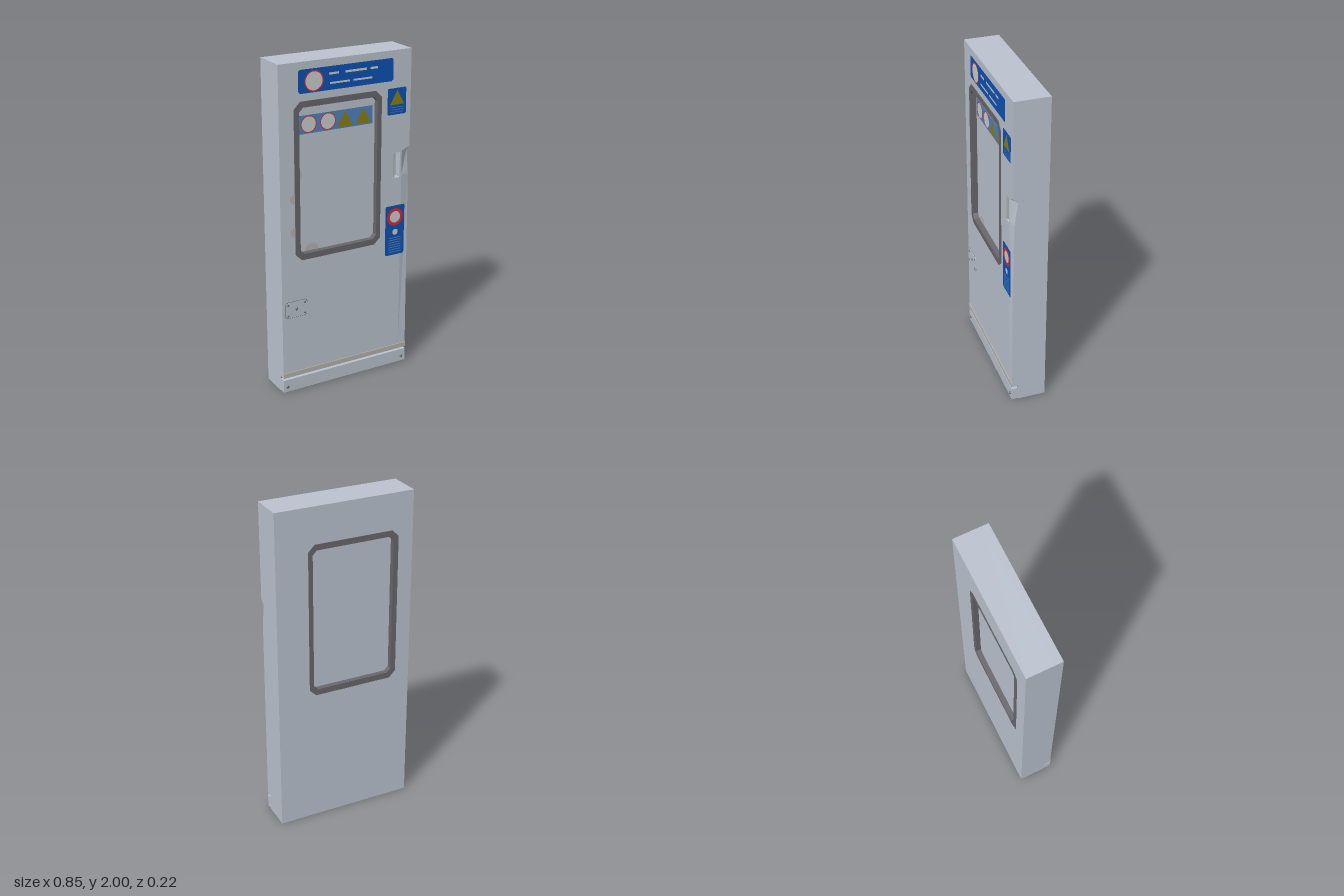
import * as THREE from 'three';

const mat = (name, color) => {
  const m = new THREE.MeshStandardMaterial({ color });
  m.name = name;
  return m;
};

// Rectangle outline with cut corners (c = 0 gives a plain rectangle)
function outline(x0, x1, y0, y1, c = 0, Type = THREE.Shape) {
  const pts = c
    ? [[x0 + c, y0], [x1 - c, y0], [x1, y0 + c], [x1, y1 - c], [x1 - c, y1], [x0 + c, y1], [x0, y1 - c], [x0, y0 + c]]
    : [[x0, y0], [x1, y0], [x1, y1], [x0, y1]];
  return new Type(pts.map(([x, y]) => new THREE.Vector2(x, y)));
}

export function createModel() {
  const door = new THREE.Group();
  door.name = 'door';
  const steel = mat('paintedSteel', 0xbcc4d0);
  const dark = mat('windowSeal', 0x68686d);
  const beige = mat('wornMetal', 0xb6b4ae);
  const blue = mat('signBlue', 0x0d52b4);
  const paleBlue = mat('stickerBlue', 0x5083be);
  const white = mat('signWhite', 0xcdced0);
  const red = mat('signRed', 0xdc2830);
  const yellow = mat('signYellow', 0x8c8010);

  const add = (name, geo, m, parent = door) => {
    const mesh = new THREE.Mesh(geo, m);
    mesh.name = name;
    parent.add(mesh);
    return mesh;
  };
  const box = (name, x0, x1, y0, y1, z0, z1, m) =>
    add(name, new THREE.BoxGeometry(x1 - x0, y1 - y0, z1 - z0), m)
      .position.set((x0 + x1) / 2, (y0 + y1) / 2, (z0 + z1) / 2);
  const slab = (name, shape, z0, z1, m) =>
    add(name, new THREE.ExtrudeGeometry(shape, { depth: z1 - z0, bevelEnabled: false }), m).position.z = z0;
  const paint = (name, shape, z, m, parent) => {
    add(name, new THREE.ShapeGeometry(shape, 20), m, parent).position.z = z;
  };

  // Door leaf: back layer, and front layer with the handle pocket
  const W = 0.427, POST = 0.375;
  const windowHole = () => outline(-0.33, 0.225, 0.845, 1.775, 0.035, THREE.Path);
  const back = outline(-W, POST, 0.1, 2);
  back.holes.push(windowHole());
  slab('doorBack', back, -0.11, 0.06, steel);
  const front = outline(-W, POST, 0.1, 2);
  front.holes.push(windowHole(), outline(0.315, 0.362, 1.235, 1.39, 0, THREE.Path));
  slab('doorFront', front, 0.06, 0.1, steel);
  box('handleGrip', 0.317, 0.328, 1.237, 1.388, 0.06, 0.098, beige);

  // Closing edge, with its front corner pressed in beside the handle
  const edge = new THREE.BoxGeometry(W - POST, 1.9, 0.21, 1, 4, 1);
  edge.translate((W + POST) / 2, 1.05, -0.005);
  const levels = [[2, 0.1], [1.42, 0.1], [1.395, 0.07], [1.25, 0.09], [0.1, 0.1]];
  const p = edge.attributes.position;
  for (let i = 0; i < p.count; i++) {
    const [y, z] = levels[Math.round((2 - p.getY(i)) / 0.475)];
    p.setY(i, y);
    if (p.getZ(i) > 0 && p.getX(i) > 0.4) p.setZ(i, z);
  }
  const flatEdge = edge.toNonIndexed();
  flatEdge.computeVertexNormals();
  add('closingEdge', flatEdge, steel);

  // Window: one seal running through the leaf, glazing set back on both sides
  const seal = outline(-0.335, 0.23, 0.84, 1.78, 0.04);
  seal.holes.push(outline(-0.303, 0.203, 0.877, 1.745, 0.025, THREE.Path));
  slab('windowSeal', seal, -0.112, 0.104, dark);
  box('windowPane', -0.31, 0.21, 0.87, 1.75, -0.08, 0.07, steel);

  // Foot of the door: core, rail, kick plate
  box('footCore', -W, W, 0, 0.1, -0.11, 0.06, steel);
  box('kickPlate', -W, W, 0.005, 0.085, 0.06, 0.102, steel);
  box('footRail', -W, W, 0.1, 0.13, 0.1, 0.105, beige);
  box('footGroove', -W + 0.003, W - 0.003, 0.085, 0.1, 0.06, 0.063, dark);

  // Screws and lock plate
  const screw = (x, y, r, z) => {
    const g = new THREE.CylinderGeometry(r * 0.7, r, 0.006, 10).rotateX(Math.PI / 2);
    add('screw', g, dark).position.set(x, y, z);
  };
  for (const x of [-0.4, 0.4]) screw(x, 0.037, 0.01, 0.105);
  slab('lockPlate', outline(-0.405, -0.265, 0.49, 0.588, 0.012), 0.1, 0.104, steel);
  const rim = outline(-0.408, -0.262, 0.487, 0.591, 0.013);
  paint('lockPlateRim', rim, 0.1015, dark);
  for (const x of [-0.39, -0.28]) for (const y of [0.505, 0.573]) screw(x, y, 0.007, 0.106);
  screw(-0.335, 0.54, 0.01, 0.106);

  // Sign pieces, stacked as thin layers
  const disc = (x, y, r) => new THREE.Shape().absarc(x, y, r, 0, Math.PI * 2);
  const sign = (name) => {
    const g = new THREE.Group();
    g.name = name;
    door.add(g);
    return g;
  };
  const roundMark = (g, x, y, r, inner, z) => {
    const ring = disc(x, y, r);
    ring.holes.push(new THREE.Path().absarc(x, y, inner, 0, Math.PI * 2));
    paint('markRing', ring, z, red, g);
    paint('markDisc', disc(x, y, inner), z, white, g);
  };
  const triangle = (g, x, y0, y1, half, z) => paint('warningTriangle', new THREE.Shape([
    new THREE.Vector2(x - half, y0), new THREE.Vector2(x + half, y0), new THREE.Vector2(x, y1)]), z, yellow, g);
  const bar = (g, x0, x1, y, h, z, m) => paint('signBar', outline(x0, x1, y - h / 2, y + h / 2), z, m, g);

  const Z = 0.102, Z2 = 0.104;
  const top = sign('topSign');
  paint('topSignPlate', outline(-0.305, 0.305, 1.823, 1.957, 0.01), Z, blue, top);
  roundMark(top, -0.208, 1.887, 0.06, 0.053, Z2);
  for (const [a, b] of [[-0.115, -0.05], [-0.01, 0.13], [0.15, 0.2]]) bar(top, a, b, 1.916, 0.013, Z2, white);
  for (const [a, b] of [[-0.11, 0.02], [0.04, 0.165]]) bar(top, a, b, 1.862, 0.011, Z2, white);

  const warning = sign('warningSign');
  paint('warningSignPlate', outline(0.27, 0.395, 1.623, 1.78, 0.006), Z, blue, warning);
  triangle(warning, 0.333, 1.682, 1.768, 0.048, Z2);
  for (let i = 0; i < 3; i++) bar(warning, 0.288, 0.378, 1.667 - i * 0.014, 0.004, Z2, paleBlue);

  const notice = sign('noticeSign');
  paint('noticeSignPlate', outline(0.268, 0.4, 0.745, 1.062, 0.008), Z, blue, notice);
  roundMark(notice, 0.334, 0.99, 0.055, 0.036, Z2);
  paint('noticeDot', disc(0.336, 0.893, 0.019), Z2, white, notice);
  for (let i = 0; i < 7; i++) bar(notice, 0.293, 0.377, 0.856 - i * 0.015, 0.006, Z2, paleBlue);

  // Sticker band and worn patches on the window
  const band = sign('windowSticker');
  paint('windowStickerBand', outline(-0.287, 0.187, 1.583, 1.69), 0.072, paleBlue, band);
  for (const x of [-0.228, -0.105]) roundMark(band, x, 1.637, 0.05, 0.045, 0.074);
  for (const x of [0.005, 0.125]) triangle(band, x, 1.592, 1.682, 0.05, 0.074);
  paint('wornPatch', new THREE.Shape().absarc(-0.215, 0.878, 0.045, 0, Math.PI), 0.072, beige);
  paint('wornPatch', new THREE.Shape().absarc(-0.303, 1.345, 0.03, -Math.PI / 2, Math.PI / 2), 0.072, beige);
  for (const y of [1.22, 1.02])
    paint('wornPatch', new THREE.Shape().absarc(-0.335, y, 0.03, Math.PI / 2, Math.PI * 1.5), 0.1015, beige);

  return door;
}
